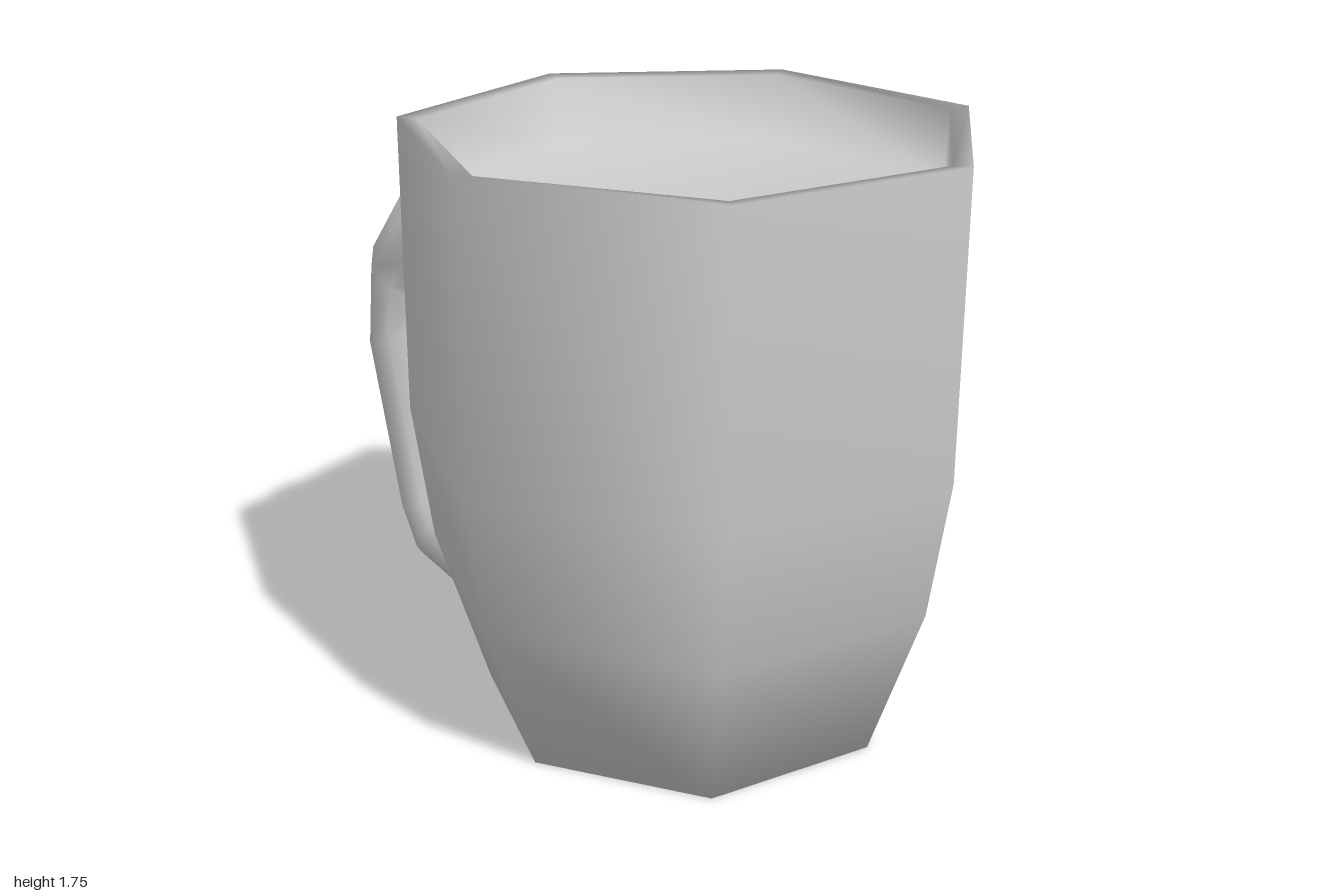
import * as THREE from 'three';

const SIDES = 7;
const AXIS_X = 0.169;
const material = () => new THREE.MeshStandardMaterial({ color: 0xcccccc });

// Seven-sided turned part with one corner pointing to +x
function turned(name, profile) {
  const points = profile.map(([r, y]) => new THREE.Vector2(r, y));
  const mesh = new THREE.Mesh(new THREE.LatheGeometry(points, SIDES, Math.PI / 2), material());
  mesh.name = name;
  mesh.position.x = AXIS_X;
  return mesh;
}

// Octagonal tube lofted between matching outer and inner outline points
function loft(name, sections, sides = 8) {
  const positions = [], index = [];
  const k = 1 / Math.cos(Math.PI / sides);
  for (const [ox, oy, ix, iy, halfWidth] of sections) {
    for (let j = 0; j < sides; j++) {
      const a = ((j + 0.5) / sides) * Math.PI * 2;
      const c = Math.cos(a) * k * 0.5;
      positions.push(
        (ox + ix) / 2 + (ox - ix) * c,
        (oy + iy) / 2 + (oy - iy) * c,
        Math.sin(a) * k * halfWidth);
    }
  }
  for (let i = 0; i < sections.length - 1; i++) {
    for (let j = 0; j < sides; j++) {
      const a = i * sides + j, b = i * sides + (j + 1) % sides;
      index.push(a, a + sides, b, b, a + sides, b + sides);
    }
  }
  const geometry = new THREE.BufferGeometry();
  geometry.setAttribute('position', new THREE.Float32BufferAttribute(positions, 3));
  geometry.setIndex(index);
  geometry.computeVertexNormals();
  const mesh = new THREE.Mesh(geometry, material());
  mesh.name = name;
  return mesh;
}

export function createModel() {
  const mug = new THREE.Group();
  mug.name = 'mug';

  // Base, tapering wall, soft lip and the flat surface below it
  mug.add(turned('body', [
    [0, 0], [0.35, 0], [0.613, 0], [0.772, 0.47], [0.831, 0.88], [0.831, 1.745],
    [0.772, 1.74], [0.765, 1.54], [0, 1.54],
  ]));

  // Handle: outer x, y, inner x, y, half width
  mug.add(loft('handle', [
    [-0.57, 1.455, -0.57, 1.17, 0.126],
    [-0.71, 1.455, -0.70, 1.17, 0.122],
    [-0.85, 1.41, -0.77, 1.145, 0.12],
    [-0.97, 1.23, -0.80, 1.09, 0.118],
    [-1.0, 0.92, -0.81, 0.99, 0.115],
    [-0.90, 0.39, -0.71, 0.45, 0.115],
    [-0.83, 0.22, -0.69, 0.42, 0.118],
    [-0.65, 0.13, -0.65, 0.415, 0.12],
    [-0.44, 0.215, -0.51, 0.47, 0.122],
  ]));

  return mug;
}
